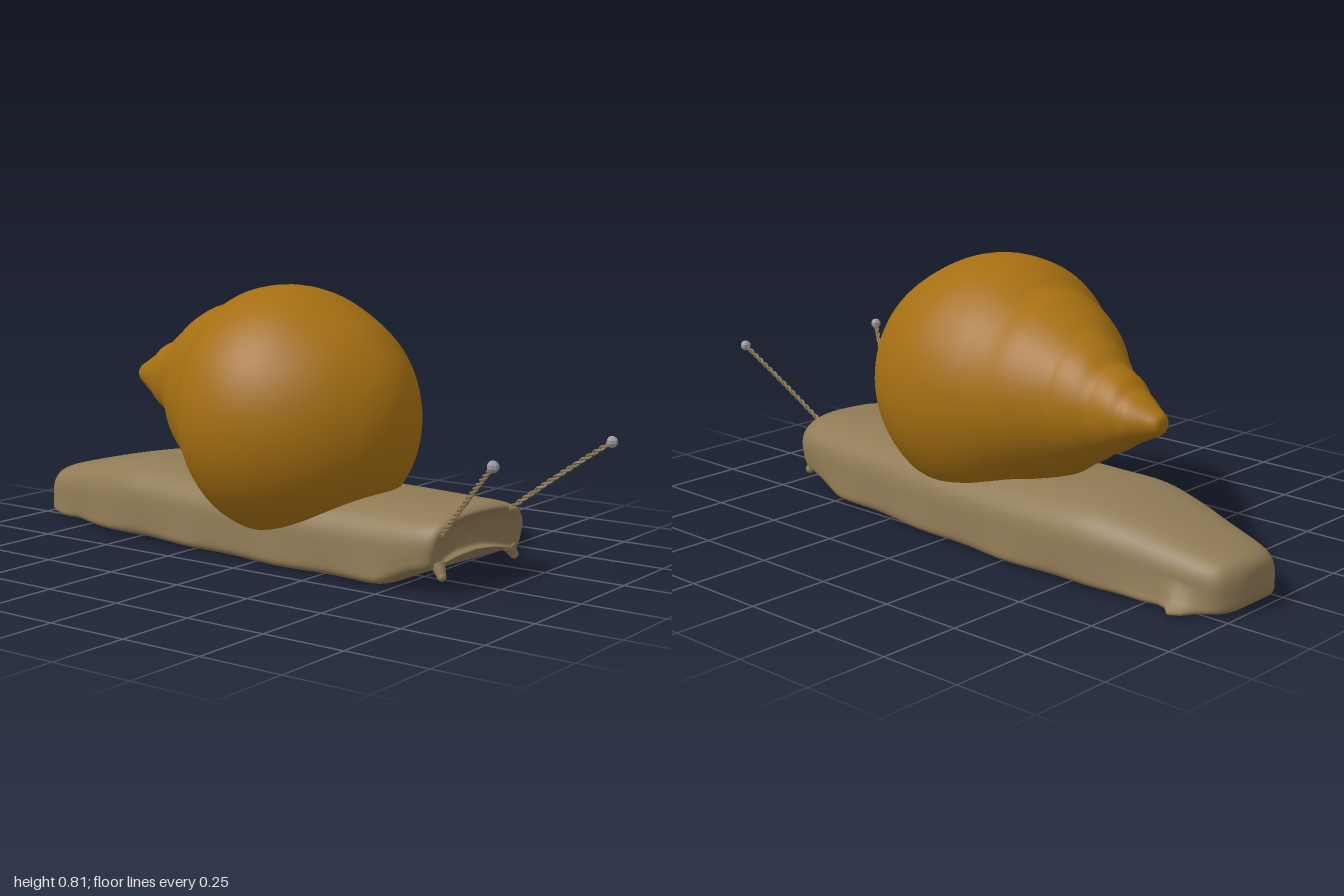
import * as THREE from 'three';

const paint = (color, flatShading = false) => new THREE.MeshStandardMaterial({ color, flatShading });

// Smooth in-between rows for a short table of cross-section measures
function refine(rows, steps) {
  const out = [];
  const at = (i) => rows[Math.max(0, Math.min(rows.length - 1, i))];
  for (let i = 0; i < rows.length - 1; i++) {
    for (let s = 0; s < steps; s++) {
      const t = s / steps;
      out.push(rows[i].map((p1, k) => {
        const p0 = at(i - 1)[k], p2 = at(i + 1)[k], p3 = at(i + 2)[k];
        return p1 + 0.5 * t * (p2 - p0 + t * (2 * p0 - 5 * p1 + 4 * p2 - p3 + t * (3 * (p1 - p2) + p3 - p0)));
      }));
    }
  }
  out.push(rows[rows.length - 1]);
  return out;
}

// Closed skin over rings that advance along +x
function loft(rows, sides, pointOf) {
  const pos = [], index = [];
  rows.forEach((row, i) => {
    for (let j = 0; j < sides; j++) {
      pos.push(...pointOf(row, (j / sides) * Math.PI * 2));
      if (i === rows.length - 1) continue;
      const a = i * sides + j, c = i * sides + (j + 1) % sides;
      index.push(a, a + sides, c, a + sides, c + sides, c);
    }
  });
  const geo = new THREE.BufferGeometry();
  geo.setAttribute('position', new THREE.Float32BufferAttribute(pos, 3));
  geo.setIndex(index);
  geo.computeVertexNormals();
  return geo;
}

const power = (v, e) => Math.sign(v) * Math.pow(Math.abs(v), e);
const bump = (x, centre, width) => Math.exp(-(((x - centre) / width) ** 2));

function add(parent, name, geometry, material) {
  const mesh = new THREE.Mesh(geometry, material);
  mesh.name = name;
  parent.add(mesh);
  return mesh;
}

// Shell: x, bottom, top, back z, front z; the small dips are the whorl seams
function makeShell() {
  const rows = refine([
    [-0.737, 0.472, 0.472, -0.197, -0.197],
    [-0.733, 0.447, 0.496, -0.223, -0.17],
    [-0.70, 0.428, 0.515, -0.242, -0.145],
    [-0.655, 0.405, 0.54, -0.264, -0.113],
    [-0.63, 0.392, 0.552, -0.266, -0.098],
    [-0.60, 0.372, 0.576, -0.275, -0.075],
    [-0.56, 0.352, 0.592, -0.278, -0.055],
    [-0.53, 0.34, 0.601, -0.281, -0.037],
    [-0.49, 0.312, 0.632, -0.293, 0.0],
    [-0.44, 0.285, 0.657, -0.303, 0.04],
    [-0.41, 0.27, 0.669, -0.306, 0.075],
    [-0.36, 0.238, 0.697, -0.32, 0.135],
    [-0.28, 0.195, 0.732, -0.342, 0.2],
    [-0.21, 0.16, 0.746, -0.351, 0.255],
    [-0.15, 0.115, 0.775, -0.36, 0.315],
    [-0.08, 0.08, 0.8, -0.372, 0.355],
    [0.02, 0.06, 0.811, -0.376, 0.372],
    [0.12, 0.072, 0.795, -0.36, 0.36],
    [0.22, 0.108, 0.75, -0.315, 0.318],
    [0.31, 0.165, 0.69, -0.25, 0.25],
    [0.38, 0.24, 0.61, -0.165, 0.165],
    [0.415, 0.31, 0.54, -0.09, 0.095],
    [0.429, 0.38, 0.47, -0.03, 0.04],
    [0.43, 0.425, 0.425, 0, 0],
  ], 4);
  return loft(rows, 64, ([x, y0, y1, z0, z1], t) => [
    x, (y0 + y1) / 2 + ((y1 - y0) / 2) * Math.sin(t), (z0 + z1) / 2 + ((z1 - z0) / 2) * Math.cos(t),
  ]);
}

// Body: x, bottom, top, back z, front z, slant of the face, arch under the head
function makeBody() {
  const rows = refine([
    [-1.0, 0.075, 0.075, -0.09, -0.09, 0, 0],
    [-0.998, 0.04, 0.115, -0.16, -0.045, 0, 0],
    [-0.985, 0.016, 0.138, -0.205, -0.02, 0, 0],
    [-0.96, 0.008, 0.152, -0.245, 0.005, 0, 0],
    [-0.91, 0.004, 0.166, -0.265, 0.028, 0, 0],
    [-0.8, 0.004, 0.192, -0.285, 0.06, 0, 0],
    [-0.68, 0.004, 0.218, -0.3, 0.1, 0, 0],
    [-0.55, 0.004, 0.24, -0.322, 0.13, 0, 0],
    [-0.4, 0.004, 0.24, -0.325, 0.142, 0, 0],
    [-0.2, 0.002, 0.236, -0.315, 0.16, 0, 0],
    [0.1, 0.002, 0.236, -0.29, 0.188, 0, 0],
    [0.35, 0.004, 0.236, -0.262, 0.197, 0, 0],
    [0.47, 0.006, 0.235, -0.25, 0.2, -0.03, 0],
    [0.54, 0.016, 0.234, -0.241, 0.201, -0.07, 0.008],
    [0.6, 0.03, 0.233, -0.233, 0.2, -0.11, 0.025],
    [0.64, 0.042, 0.232, -0.226, 0.198, -0.14, 0.04],
    [0.673, 0.052, 0.228, -0.216, 0.193, -0.14, 0.045],
    [0.69, 0.063, 0.217, -0.202, 0.18, -0.14, 0.04],
    [0.684, 0.077, 0.206, -0.175, 0.152, -0.14, 0.03],
    [0.668, 0.103, 0.188, -0.1, 0.08, -0.14, 0.01],
    [0.66, 0.145, 0.145, -0.01, -0.01, -0.14, 0],
  ], 4);
  return loft(rows, 56, ([x, y0, y1, z0, z1, slant, arch], t) => {
    const s = Math.sin(t), c = Math.cos(t), mid = y0 + (y1 - y0) * 0.4;
    const head = THREE.MathUtils.smoothstep(x, 0.45, 0.65);
    const box = 0.3 + 0.12 * head;
    const u = power(c, s < 0 ? box : 0.7);
    const y = s < 0
      ? mid + (mid - y0) * power(s, box) - arch * (1 - u * u) * s
      : mid + (y1 - mid) * power(s, 0.8);
    // wavy sole edge, drawn out to a ragged corner near the tail
    const edge = 0.014 + 0.008 * Math.sin(x * 17) + (c < 0 ? 0.085 : 0.016) * bump(x, -0.868, 0.035)
      + (c < 0 ? 0.022 * bump(x, -0.77, 0.07) : 0);
    const flare = edge * Math.max(0, -s) ** 0.6 * (1 - head) * THREE.MathUtils.smoothstep(x, -1, -0.92);
    const centre = (z0 + z1) / 2;
    const z = centre + ((z1 - z0) / 2 + flare) * u;
    return [x + slant * (z - centre) + 0.2 * head * (y - 0.23), y, z];
  });
}

// Twisted strand wound around the line from a to b
function makeStrand(a, b, phase) {
  const dir = b.clone().sub(a).normalize();
  const side = new THREE.Vector3(0, 1, 0).cross(dir).normalize();
  const up = dir.clone().cross(side);
  const pts = [];
  for (let i = 0; i <= 80; i++) {
    const t = i / 80, ang = t * Math.PI * 16 + phase, r = 0.0042;
    pts.push(a.clone().lerp(b, t)
      .addScaledVector(side, Math.cos(ang) * r)
      .addScaledVector(up, Math.sin(ang) * r + 0.003 * Math.sin(t * Math.PI)));
  }
  return new THREE.TubeGeometry(new THREE.CatmullRomCurve3(pts), 110, 0.004, 5);
}

export function createModel() {
  const model = new THREE.Group();
  model.name = 'snail';
  const skin = paint(0x8f7a55), shellPaint = paint(0xa56f12), eyePaint = paint(0x999999, true);

  add(model, 'shell', makeShell(), shellPaint);
  add(model, 'body', makeBody(), skin);

  // Eye stalks with their eyes, and the small feelers below them
  const sides = [
    ['front', [0.652, 0.17, 0.152], [0.91, 0.414, 0.325], [0.636, 0.085, 0.146], [0.655, 0.055, 0.155]],
    ['back', [0.697, 0.203, -0.134], [0.98, 0.415, -0.193], [0.668, 0.085, -0.178], [0.678, 0.057, -0.195]],
  ];
  for (const [name, ...ends] of sides) {
    const [root, tip, feelerRoot, feelerTip] = ends.map((p) => new THREE.Vector3(...p));
    const stalk = new THREE.Group();
    stalk.name = name + 'EyeStalk';
    model.add(stalk);
    for (const phase of [0, Math.PI]) add(stalk, 'strand', makeStrand(root, tip, phase), skin);
    add(stalk, 'eye', new THREE.SphereGeometry(0.017, 7, 5), eyePaint).position.copy(tip);
    add(stalk, 'stalkBase', new THREE.SphereGeometry(0.011, 12, 8), skin).position.copy(root);

    const span = feelerTip.clone().sub(feelerRoot);
    const feeler = add(model, name + 'Feeler', new THREE.CylinderGeometry(0.013, 0.021, span.length(), 10), skin);
    feeler.position.copy(feelerRoot).addScaledVector(span, 0.5);
    feeler.quaternion.setFromUnitVectors(new THREE.Vector3(0, 1, 0), span.clone().normalize());
    add(model, name + 'FeelerTip', new THREE.SphereGeometry(0.0135, 10, 8), skin).position.copy(feelerTip);
  }
  return model;
}
